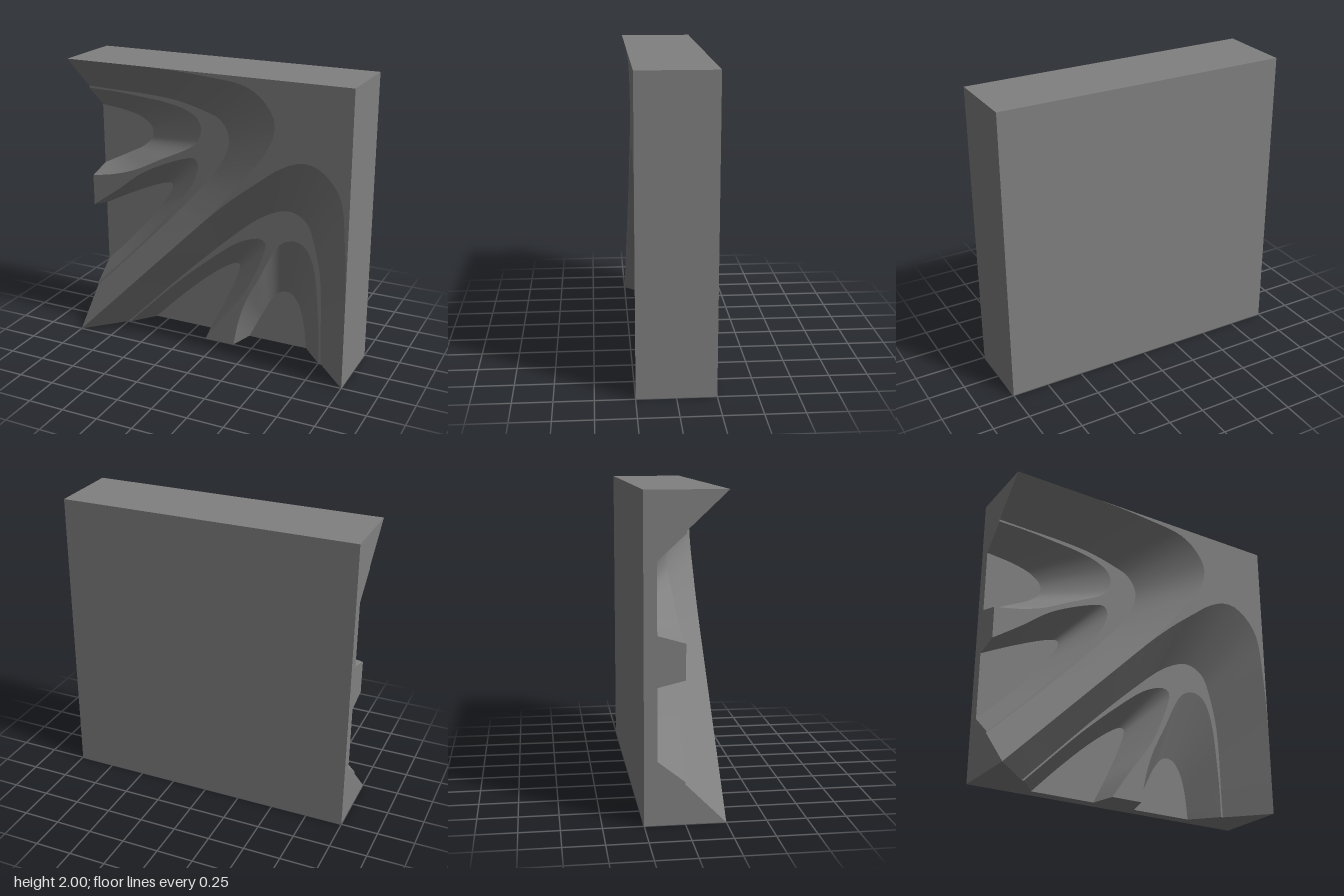
import * as THREE from 'three';

const FRONT = 0.25, SHELF = 0, FLOOR = -0.17, SEGMENTS = 72;

export function createModel() {
  const grey = new THREE.MeshStandardMaterial({ color: 0x808080, side: THREE.DoubleSide });
  grey.name = 'grey';

  const add = (parent, name, geometry) => {
    const mesh = new THREE.Mesh(geometry, grey);
    mesh.name = name;
    parent.add(mesh);
    return mesh;
  };

  // Smooth contour through [x, y] points, kept on its side of the diagonal
  const contour = (points) =>
    new THREE.CatmullRomCurve3(points.map(([x, y]) => new THREE.Vector3(x, y, 0)))
      .getSpacedPoints(SEGMENTS)
      .map((p) => {
        const x = Math.max(p.x, -1);
        return new THREE.Vector2(x, Math.min(2, Math.max(p.y, x + 1)));
      });

  // Flat face at a given depth
  const sheet = (points, z) => new THREE.ShapeGeometry(new THREE.Shape(points)).translate(0, 0, z);

  // Sloping wall between an outer and an inner contour
  const wall = (outer, outerZ, inner, innerZ) => {
    const positions = [], index = [];
    outer.forEach((p, i) => {
      positions.push(p.x, p.y, outerZ, inner[i].x, inner[i].y, innerZ);
      if (i < outer.length - 1) {
        const a = 2 * i;
        index.push(a, a + 1, a + 2, a + 1, a + 3, a + 2);
      }
    });
    const geometry = new THREE.BufferGeometry();
    geometry.setAttribute('position', new THREE.Float32BufferAttribute(positions, 3));
    geometry.setIndex(index);
    geometry.computeVertexNormals();
    return geometry;
  };

  // Contours, each running from the left edge round its tip and back
  const rim = contour([[-1, 2], [-0.7, 2], [-0.4, 2], [0, 1.98], [0.3, 1.94], [0.42, 1.86], [0.49, 1.75],
    [0.49, 1.65], [0.43, 1.52], [0.34, 1.4], [0.19, 1.21], [0, 1], [-0.3, 0.7], [-1, 0]]);
  const shelfEdge = contour([[-1, 1.765], [-0.85, 1.76], [-0.5, 1.75], [-0.3, 1.73], [-0.1, 1.68], [0, 1.64],
    [0.06, 1.56], [0.07, 1.48], [0.04, 1.39], [-0.03, 1.27], [-0.2, 1.07], [-0.5, 0.75], [-0.93, 0.32], [-1, 0.25]]);
  const upperTop = contour([[-1, 1.75], [-0.8, 1.745], [-0.6, 1.73], [-0.4, 1.71], [-0.25, 1.675], [-0.16, 1.62],
    [-0.135, 1.55], [-0.16, 1.47], [-0.22, 1.415], [-0.45, 1.3], [-0.65, 1.2], [-0.82, 1.145], [-1, 1.11]]);
  const upperFloor = contour([[-1, 1.595], [-0.8, 1.57], [-0.67, 1.53], [-0.6, 1.47], [-0.6, 1.4],
    [-0.67, 1.33], [-0.8, 1.26], [-1, 1.16]]);
  const lowerTop = contour([[-1, 0.89], [-0.8, 1.03], [-0.6, 1.18], [-0.4, 1.28], [-0.25, 1.335], [-0.19, 1.345],
    [-0.16, 1.31], [-0.17, 1.24], [-0.22, 1.13], [-0.34, 0.97], [-0.6, 0.67], [-0.9, 0.365], [-1, 0.265]]);
  const lowerFloor = contour([[-1, 0.85], [-0.8, 0.95], [-0.6, 1.04], [-0.5, 1.075], [-0.45, 1.08],
    [-0.445, 1.05], [-0.48, 0.98], [-0.6, 0.82], [-0.8, 0.6], [-1, 0.4]]);

  const half = new THREE.Group();
  half.name = 'upperHalf';

  // Front face beside the carved pocket
  const isFree = (p) => p && p.y < 1.9999 && p.y > p.x + 1.0001;
  const freeRim = rim.filter((p, i) => isFree(rim[i - 1]) || isFree(p) || isFree(rim[i + 1]));
  add(half, 'frontFace', sheet([...freeRim, new THREE.Vector2(1, 2)], FRONT));

  // Pocket wall, shelf and the two deeper hollows
  add(half, 'pocketWall', wall(rim, FRONT, shelfEdge, SHELF));
  add(half, 'shelf', sheet([...upperTop, ...lowerTop, ...[...shelfEdge].reverse()], SHELF));
  add(half, 'upperHollowWall', wall(upperTop, SHELF, upperFloor, FLOOR));
  add(half, 'lowerHollowWall', wall(lowerTop, SHELF, lowerFloor, FLOOR));

  // Cut edge of the relief, as [z, y] sections
  const sections = [
    [[FLOOR, 2], [FRONT, 2], [SHELF, 1.765], [SHELF, 1.75], [FLOOR, 1.595]],
    [[FLOOR, 1.16], [SHELF, 1.11], [SHELF, 0.89], [FLOOR, 0.85]],
    [[FLOOR, 0.4], [SHELF, 0.265], [SHELF, 0.25], [FRONT, 0], [FLOOR, 0]],
  ];
  for (const section of sections) {
    const points = section.map(([z, y]) => new THREE.Vector2(z, y));
    add(half, 'cutEdge', sheet(points, 0).rotateY(-Math.PI / 2).translate(-1, 0, 0));
  }

  // Plain outer edge
  add(half, 'outerEdge', new THREE.PlaneGeometry(2, FRONT - FLOOR).rotateX(-Math.PI / 2)
    .translate(0, 2, (FRONT + FLOOR) / 2));

  // The other half is reflected across the rising diagonal
  const mirrored = half.clone();
  mirrored.name = 'lowerHalf';
  mirrored.scale.y = -1;
  mirrored.rotation.z = Math.PI / 2;
  mirrored.position.set(-1, 1, 0);

  const model = new THREE.Group();
  model.name = 'reliefPanel';
  model.add(half, mirrored);

  // Back plate, whose front forms the hollow floors
  const thickness = FLOOR + 0.25;
  add(model, 'backPlate', new THREE.BoxGeometry(2, 2, thickness)).position.set(0, 1, -0.25 + thickness / 2);
  return model;
}
